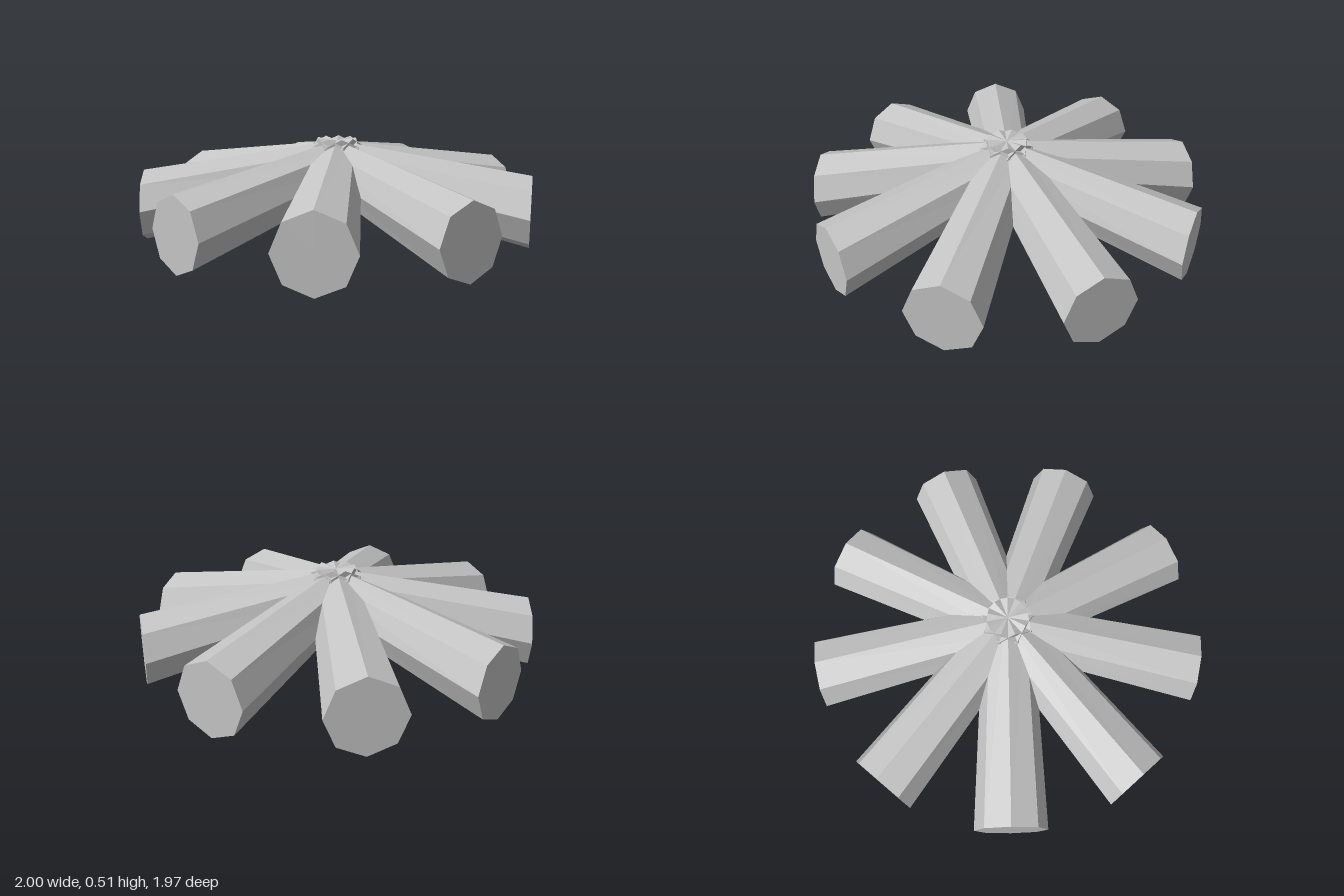
import * as THREE from 'three';

const ARMS = 9, SIDES = 8;
const OUTER = { z: 0.983, y: 0.181, r: 0.181 };   // wide end, resting on the floor
const INNER = { z: -0.1, y: 0.383, r: 0.132 };    // narrow end, just past the hub

// Tapered octagonal bar along +z, sheared upward so both end caps stay vertical
function armGeometry() {
  const length = OUTER.z - INNER.z;
  const geo = new THREE.CylinderGeometry(OUTER.r, INNER.r, length, SIDES);
  geo.rotateX(Math.PI / 2);
  const pos = geo.attributes.position;
  for (let i = 0; i < pos.count; i++) {
    const t = pos.getZ(i) / length + 0.5;         // 0 at the hub, 1 at the tip
    const narrow = THREE.MathUtils.lerp(0.925, 1, t);
    pos.setXYZ(
      i,
      pos.getX(i) * narrow,
      pos.getY(i) + THREE.MathUtils.lerp(INNER.y, OUTER.y, t),
      THREE.MathUtils.lerp(INNER.z, OUTER.z, t)
    );
  }
  const flat = geo.toNonIndexed();
  flat.computeVertexNormals();
  return flat;
}

export function createModel() {
  const model = new THREE.Group();
  model.name = 'radialStar';
  const grey = new THREE.MeshStandardMaterial({ color: 0xc4c4c4, flatShading: true });
  grey.name = 'light grey';

  // Nine equal arms crossing at the hub, one pointing straight back
  const geometry = armGeometry();
  for (let i = 0; i < ARMS; i++) {
    const arm = new THREE.Mesh(geometry, grey);
    arm.name = `arm${i + 1}`;
    arm.rotation.y = Math.PI + (i * 2 * Math.PI) / ARMS + 0.008;
    model.add(arm);
  }
  return model;
}
